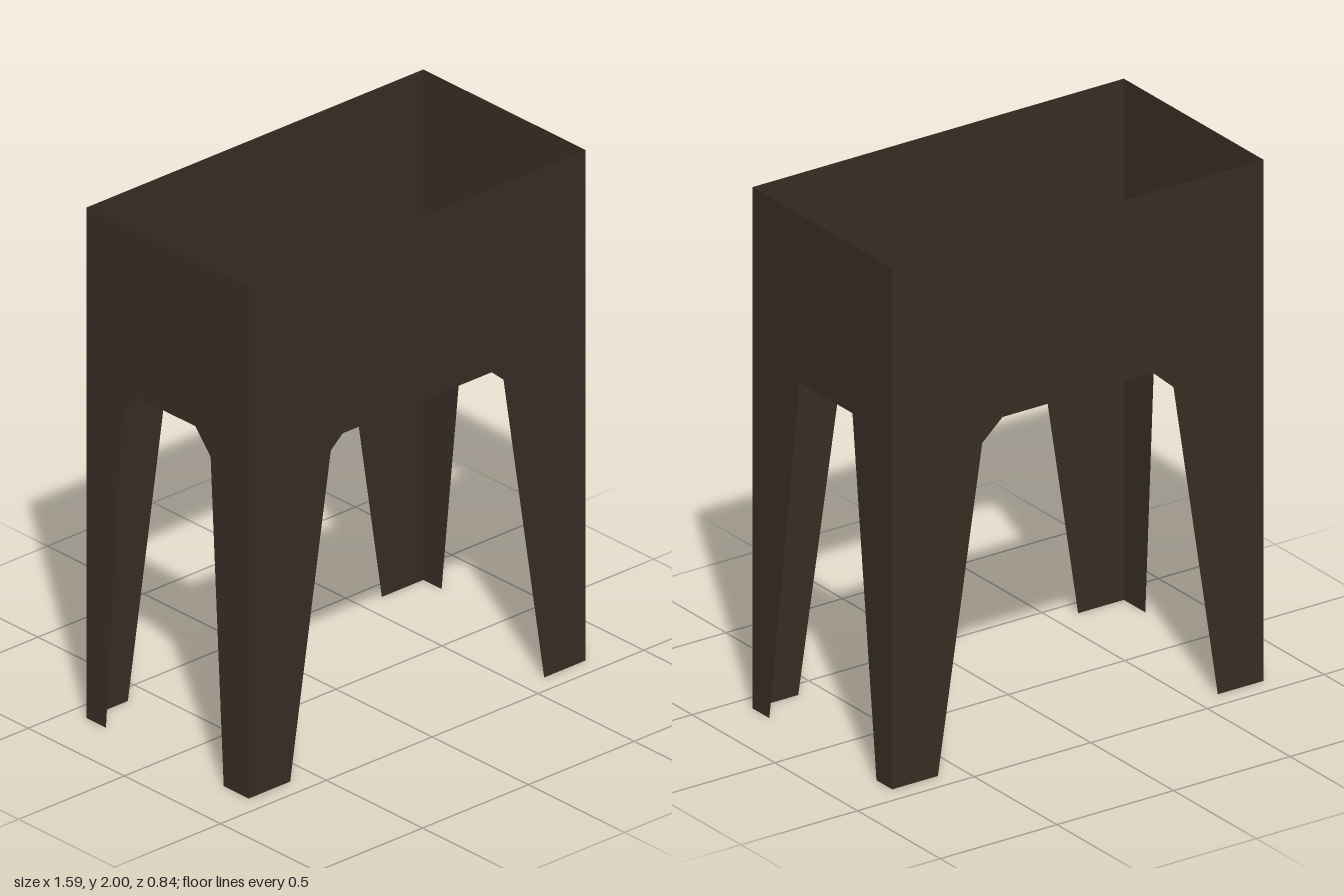
import * as THREE from 'three';

const W = 0.796, D = 0.422, H = 2;

export function createModel() {
  const group = new THREE.Group();
  group.name = 'planterStand';
  const darkBronze = new THREE.MeshStandardMaterial({ color: 0x382e24, side: THREE.DoubleSide });
  darkBronze.name = 'darkBronze';

  // Thin sheet with a leg opening cut up from its lower edge.
  // opening: points from the negative foot to the positive foot.
  function panel(name, half, opening) {
    const outline = [[-half, 0], ...opening, [half, 0], [half, H], [-half, H]];
    const shape = new THREE.Shape(outline.map(([x, y]) => new THREE.Vector2(x, y)));
    const mesh = new THREE.Mesh(new THREE.ShapeGeometry(shape), darkBronze);
    mesh.name = name;
    group.add(mesh);
    return mesh;
  }

  // Symmetric opening from its positive half
  const mirrored = (pts) => [...pts.map(([x, y]) => [-x, y]), ...pts.slice().reverse()];

  // Long panels, with chamfered openings
  panel('frontPanel', W, mirrored([[0.6, 0], [0.408, 1.232], [0.352, 1.28]])).position.z = D;

  const back = panel('backPanel', W, mirrored([[0.6, 0], [0.41, 1.228], [0.323, 1.305]]));
  back.rotation.y = Math.PI;
  back.position.z = -D;

  // Plain end panel on +x: local x runs towards -z
  const left = panel('leftPanel', D, [[-0.32, 0], [-0.138, 1.355], [0.182, 1.355], [0.327, 0]]);
  left.rotation.y = Math.PI / 2;
  left.position.x = W;

  // Chamfered end panel on -x: local x runs towards +z
  const right = panel('rightPanel', D,
    [[-0.32, 0], [-0.236, 1.265], [-0.157, 1.355], [0.144, 1.355], [0.224, 1.265], [0.292, 0]]);
  right.rotation.y = -Math.PI / 2;
  right.position.x = -W;

  return group;
}
